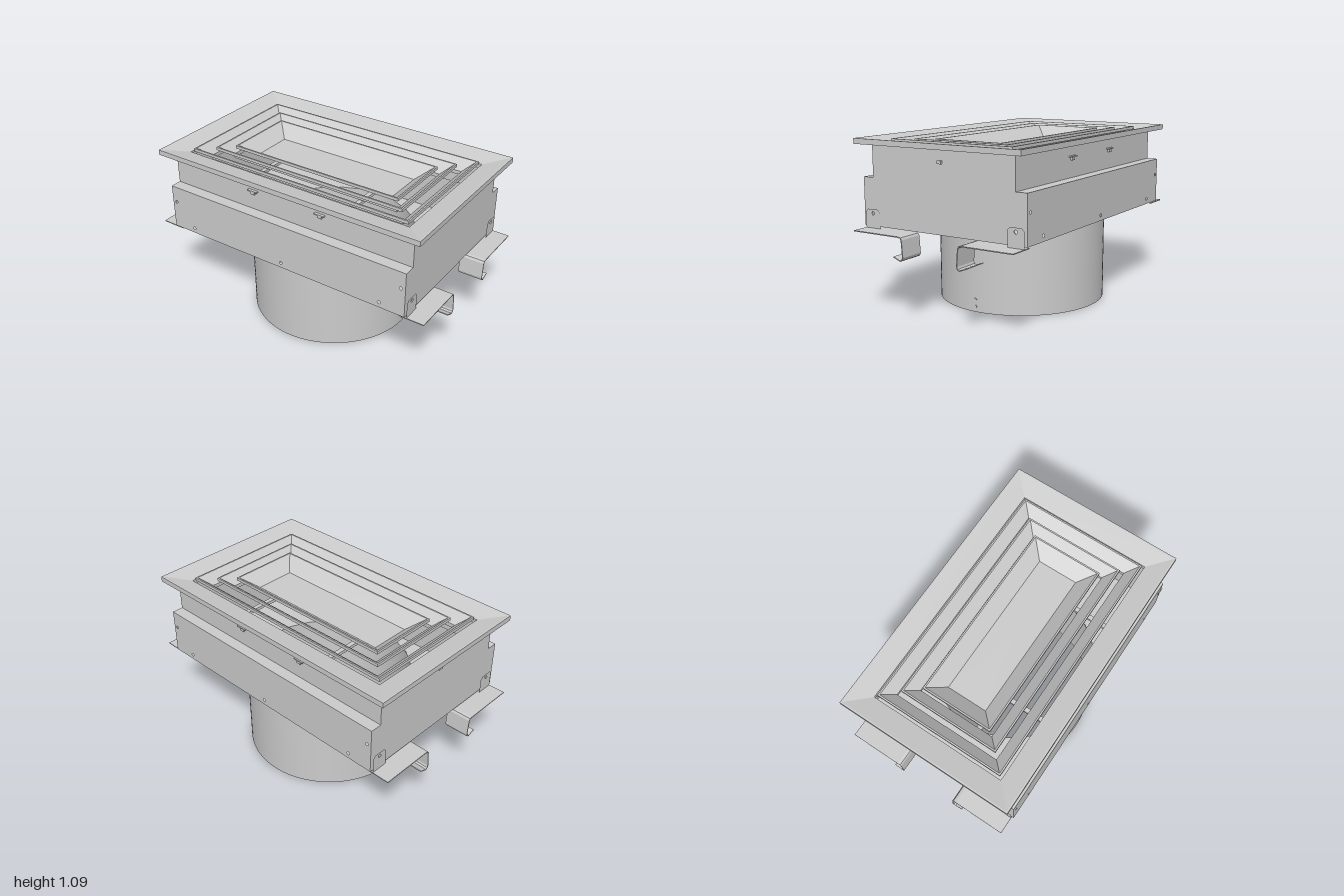
import * as THREE from 'three';

const metal = new THREE.MeshStandardMaterial({ color: 0xcccccc, side: THREE.DoubleSide });

function add(parent, name, geometry, x = 0, y = 0, z = 0) {
  const mesh = new THREE.Mesh(geometry, metal);
  mesh.name = name;
  mesh.position.set(x, y, z);
  parent.add(mesh);
  return mesh;
}

const box = (w, h, d) => new THREE.BoxGeometry(w, h, d);

// Sheet through rectangular sections, each [half width, half depth, y].
function rectLoft(sections) {
  const pos = [];
  const corner = ([hx, hz, y], i) => [[hx, y, hz], [hx, y, -hz], [-hx, y, -hz], [-hx, y, hz]][i % 4];
  for (let s = 0; s < sections.length - 1; s++) {
    for (let i = 0; i < 4; i++) {
      const a = corner(sections[s], i), b = corner(sections[s], i + 1);
      const c = corner(sections[s + 1], i + 1), d = corner(sections[s + 1], i);
      pos.push(...a, ...b, ...c, ...a, ...c, ...d);
    }
  }
  const g = new THREE.BufferGeometry();
  g.setAttribute('position', new THREE.Float32BufferAttribute(pos, 3));
  g.computeVertexNormals();
  return g;
}

// Flat sheet from an outline, with round holes [x, y, radius].
function sheet(points, holes = []) {
  const shape = new THREE.Shape(points.map(p => new THREE.Vector2(...p)));
  for (const [x, y, r] of holes) {
    const hole = new THREE.Path();
    hole.absarc(x, y, r, 0, Math.PI * 2, true);
    shape.holes.push(hole);
  }
  return new THREE.ShapeGeometry(shape, 12);
}

// Bent strip: a (z, y) path given thickness and extruded along x.
function bentStrip(path, width, t) {
  const pts = path.map(p => new THREE.Vector2(...p));
  const inner = pts.map((p, i) => {
    const dir = pts[Math.min(i + 1, pts.length - 1)].clone().sub(pts[Math.max(i - 1, 0)]).normalize();
    return new THREE.Vector2(p.x - dir.y * t, p.y + dir.x * t);
  });
  const shape = new THREE.Shape([...pts, ...inner.reverse()]);
  const g = new THREE.ExtrudeGeometry(shape, { depth: width, bevelEnabled: false });
  // Shape x becomes z; extrusion runs towards +x from 0.
  g.rotateY(-Math.PI / 2);
  g.translate(width, 0, 0);
  return g;
}

function createCollar() {
  const collar = new THREE.Group();
  collar.name = 'roundCollar';
  const R = 0.545;
  add(collar, 'collarOuterWall', new THREE.CylinderGeometry(R, R, 0.55, 96, 1, true), 0, 0.275, 0);
  add(collar, 'collarInnerWall', new THREE.CylinderGeometry(R - 0.005, R - 0.005, 0.55, 96, 1, true), 0, 0.275, 0);
  const rim = add(collar, 'collarRim', new THREE.RingGeometry(R - 0.005, R, 96), 0, 0, 0);
  rim.rotation.x = Math.PI / 2;

  // Overlapped vertical seam
  const seam = add(collar, 'collarSeam', box(0.008, 0.53, 0.012), 0.45, 0.265, -0.31);
  seam.rotation.y = Math.atan2(0.31, 0.45);

  // Four fixing clips at the top
  for (let i = 0; i < 4; i++) {
    const clip = new THREE.Group();
    clip.name = 'collarClip';
    add(clip, 'clipTab', box(0.035, 0.09, 0.008), 0, 0.505, R + 0.003);
    add(clip, 'clipFoot', box(0.05, 0.008, 0.04), 0, 0.544, R + 0.015);
    const screw = add(clip, 'clipScrew', new THREE.CylinderGeometry(0.009, 0.009, 0.012, 12), 0, 0.48, R + 0.008);
    screw.rotation.x = Math.PI / 2;
    clip.rotation.y = Math.PI / 4 + i * Math.PI / 2;
    collar.add(clip);
  }

  // Crossbar over the diameter with its ends bent down
  add(collar, 'crossbar', box(1.08, 0.006, 0.04), 0, 0.11, 0);
  for (const s of [-1, 1]) {
    add(collar, 'crossbarEnd', box(0.006, 0.1, 0.04), s * 0.535, 0.06, 0);
    for (const y of [0.035, 0.08]) {
      const rivet = add(collar, 'crossbarRivet', new THREE.CylinderGeometry(0.009, 0.009, 0.02, 12), s * 0.54, y, 0);
      rivet.rotation.z = Math.PI / 2;
    }
  }
  return collar;
}

function createHousing() {
  const housing = new THREE.Group();
  housing.name = 'housing';
  const X = 0.88, Z = 0.51, ZS = 0.585, Y0 = 0.55, Y1 = 0.85, Y2 = 1.056;

  // Bottom plate with the collar opening
  const bottom = sheet([[-X, -ZS], [X, -ZS], [X, ZS], [-X, ZS]], [[0, 0, 0.543]]);
  add(housing, 'bottomPlate', bottom.rotateX(Math.PI / 2), 0, Y0, 0);

  for (const s of [-1, 1]) {
    // Long walls with the wider, pierced lower part
    add(housing, 'upperLongWall', sheet([[-X, Y1], [X, Y1], [X, Y2], [-X, Y2]]), 0, 0, s * Z);
    add(housing, 'lowerLongWall', sheet([[-X, Y0], [X, Y0], [X, Y1], [-X, Y1]], [
      [-0.85, 0.74, 0.01], [0.85, 0.74, 0.01], [-0.71, 0.585, 0.01], [0.71, 0.585, 0.01], [0, 0.585, 0.01],
    ]), 0, 0, s * ZS);
    add(housing, 'wallLedge', box(2 * X, 0.004, ZS - Z), 0, Y1 - 0.002, s * (Z + ZS) / 2);

    // Stepped end walls
    const end = sheet([[-ZS, Y0], [ZS, Y0], [ZS, Y1], [Z, Y1], [Z, Y2], [-Z, Y2], [-Z, Y1], [-ZS, Y1]],
      [[-0.515, 0.63, 0.011], [0.515, 0.63, 0.011]]);
    add(housing, 'endWall', end.rotateY(Math.PI / 2), s * X, 0, 0);

    // Grille fixing tabs below the flange
    for (const x of [-0.25, 0.25]) {
      add(housing, 'fixingTab', box(0.07, 0.008, 0.02), x, 0.98, s * (Z + 0.008));
      add(housing, 'fixingScrew', box(0.03, 0.02, 0.014), x, 0.967, s * (Z + 0.006));
    }
    add(housing, 'endFixingTab', box(0.014, 0.02, 0.03), s * (X + 0.006), 0.977, 0);
  }
  return housing;
}

function createBracket() {
  const bracket = new THREE.Group();
  bracket.name = 'mountingBracket';
  // Foot strip that curls down into a hook
  const strip = bentStrip([[0.57, 0.538], [0.225, 0.538], [0.208, 0.534], [0.2, 0.52], [0.192, 0.415],
    [0.198, 0.398], [0.215, 0.39], [0.265, 0.41]], 0.165, 0.006);
  add(bracket, 'bracketHook', strip, 0.835, 0, 0);
  // Upright tab bolted to the end wall
  const tab = sheet([[-0.57, 0.538], [-0.46, 0.538], [-0.46, 0.638], [-0.477, 0.655], [-0.553, 0.655], [-0.57, 0.638]],
    [[-0.515, 0.63, 0.011]]);
  add(bracket, 'bracketTab', tab.rotateY(Math.PI / 2), 0.887, 0, 0);
  return bracket;
}

function createGrille() {
  const grille = new THREE.Group();
  grille.name = 'grille';
  // Outer flange, sloping gently in to the opening
  add(grille, 'flange', rectLoft([[0.88, 0.51, 1.056], [0.955, 0.59, 1.056], [0.955, 0.59, 1.09],
    [0.945, 0.58, 1.09], [0.81, 0.45, 1.06], [0.81, 0.45, 1.03]]));

  // Nested louvre frames
  for (const [x, z, y] of [[0.795, 0.435, 1.082], [0.695, 0.335, 1.078]]) {
    add(grille, 'louvreFrame', rectLoft([[x, z, y - 0.02], [x, z, y], [x - 0.01, z - 0.01, y],
      [x - 0.078, z - 0.078, y - 0.06], [x - 0.078, z - 0.078, y - 0.085]]));
  }

  // Central tray
  add(grille, 'centreTray', rectLoft([[0.61, 0.24, 1.055], [0.61, 0.24, 1.075], [0.6, 0.23, 1.075],
    [0.505, 0.135, 1.0], [0, 0, 1.0]]));

  // Support bars under the louvres
  for (const x of [-0.36, 0.36]) add(grille, 'supportBar', box(0.03, 0.02, 1.0), x, 0.975, 0);
  return grille;
}

export function createModel() {
  const model = new THREE.Group();
  model.name = 'ceilingDiffuser';
  model.add(createCollar(), createHousing(), createGrille());
  for (const sx of [-1, 1]) {
    for (const sz of [-1, 1]) {
      const bracket = createBracket();
      bracket.scale.set(sx, 1, sz);
      model.add(bracket);
    }
  }
  return model;
}
